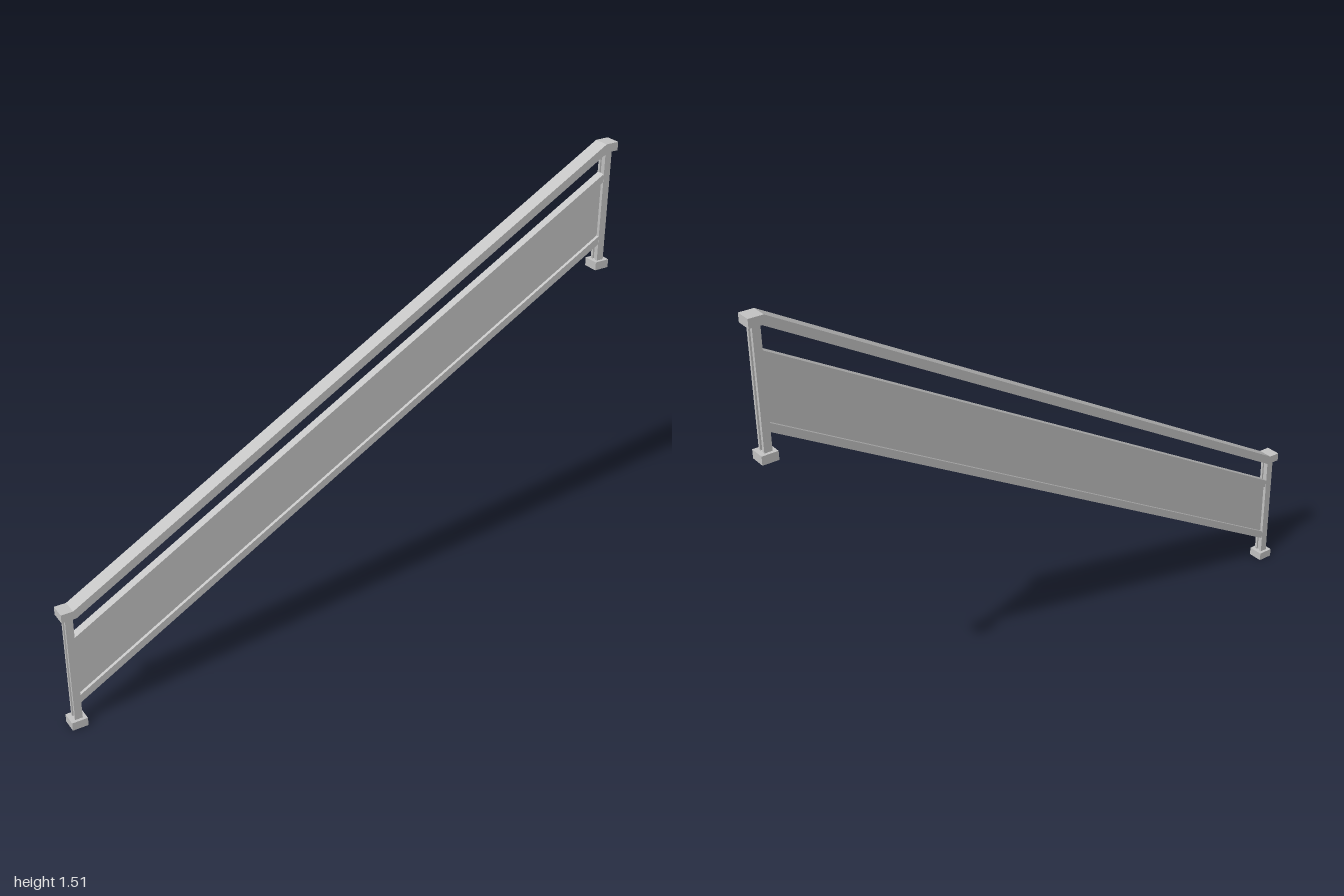
import * as THREE from 'three';

const RISE = 1.08;      // height gained from the lower to the upper post
const POST_X = 0.973;   // post centre line
const INNER_X = 0.961;  // post face towards the panel

export function createModel() {
  const group = new THREE.Group();
  group.name = 'stairRailing';
  const grey = new THREE.MeshStandardMaterial({ color: 0xc5c5c5 });
  grey.name = 'light grey metal';

  const add = (name, geometry) => {
    const mesh = new THREE.Mesh(geometry, grey);
    mesh.name = name;
    group.add(mesh);
    return mesh;
  };

  // Side outline extruded evenly about z = 0
  const plate = (name, points, depth) => {
    const shape = new THREE.Shape(points.map(([x, y]) => new THREE.Vector2(x, y)));
    const geometry = new THREE.ExtrudeGeometry(shape, { depth, bevelEnabled: false });
    return add(name, geometry.translate(0, 0, -depth / 2));
  };

  // Sloping bar between the posts, heights given at the lower post
  const slope = (name, bottom, top, depth) => plate(name, [
    [-INNER_X, bottom], [INNER_X, bottom + RISE],
    [INNER_X, top + RISE], [-INNER_X, top],
  ], depth);

  // Posts of two flat bars joined by a recessed web, on square feet
  for (const [side, x, base] of [['lower', -POST_X, 0], ['upper', POST_X, RISE]]) {
    const footX = Math.sign(x) * 0.974;
    add(side + 'Foot', new THREE.BoxGeometry(0.052, 0.028, 0.052)).position.set(footX, base + 0.014, 0);
    add(side + 'PostWeb', new THREE.BoxGeometry(0.014, 0.378, 0.014)).position.set(x, base + 0.217, 0);
    for (const z of [-0.011, 0.011]) {
      add(side + 'PostBar', new THREE.BoxGeometry(0.025, 0.378, 0.009)).position.set(x, base + 0.217, z);
    }
  }

  // Handrail with short level ends over the posts
  plate('handrail', [
    [-1, 0.403], [-0.953, 0.403], [0.961, 0.403 + RISE], [1, 0.403 + RISE],
    [1, 0.431 + RISE], [0.953, 0.431 + RISE], [-0.961, 0.431], [-1, 0.431],
  ], 0.052);

  // Infill panel between two frame rails
  slope('bottomRail', 0.085, 0.113, 0.029);
  slope('panel', 0.113, 0.3, 0.008);
  slope('topRail', 0.3, 0.327, 0.029);

  return group;
}
